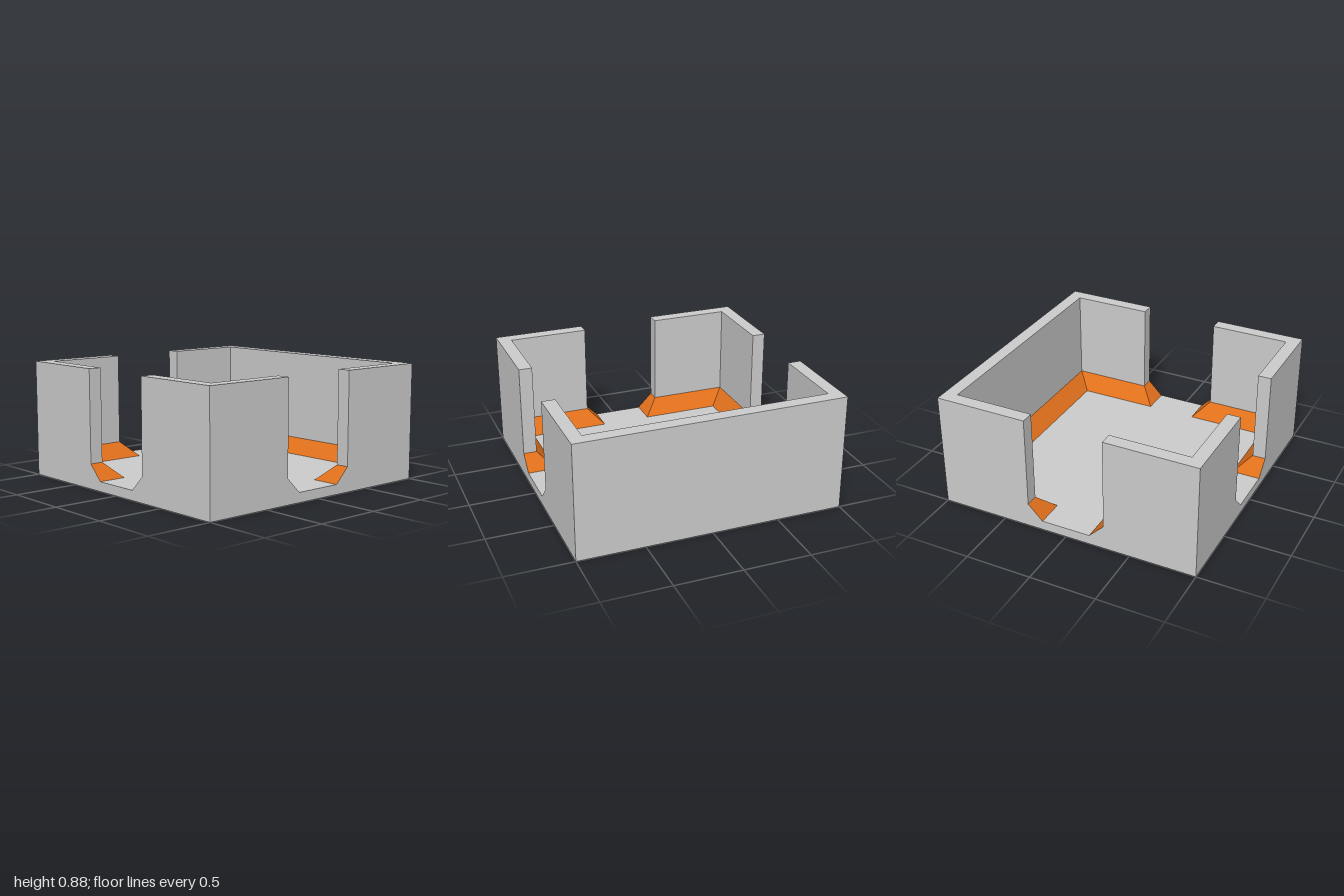
import * as THREE from 'three';

const FLOOR = 0.0725, TOP = 0.875, SKIRT = 0.1125; // floor level, wall top, skirting size
const grey = new THREE.MeshStandardMaterial({ color: 0xcccccc, flatShading: true });
const orange = new THREE.MeshStandardMaterial({ color: 0xe0701c, flatShading: true });

function add(group, name, geometry, material) {
  const mesh = new THREE.Mesh(geometry, material);
  mesh.name = name;
  group.add(mesh);
}

function triangles(points) {
  const g = new THREE.BufferGeometry();
  g.setAttribute('position', new THREE.Float32BufferAttribute(points.flat(), 3));
  g.computeVertexNormals();
  return g;
}

// Upright wall from a plan outline of [x, z] points
function wallGeometry(outline) {
  const shape = new THREE.Shape(outline.map(([x, z]) => new THREE.Vector2(x, -z)));
  const g = new THREE.ExtrudeGeometry(shape, { depth: TOP - FLOOR, bevelEnabled: false });
  return g.rotateX(-Math.PI / 2).translate(0, FLOOR, 0);
}

// Foot of the sloped skirting: the path moved sideways into the room
function offsetPath(path) {
  const normals = path.slice(1).map(([x, z], i) => {
    const dx = x - path[i][0], dz = z - path[i][1], l = Math.hypot(dx, dz);
    return [-dz / l, dx / l];
  });
  return path.map(([x, z], i) => {
    const a = normals[i - 1] ?? [0, 0], b = normals[i] ?? [0, 0];
    return [x + SKIRT * (a[0] + b[0]), z + SKIRT * (a[1] + b[1])];
  });
}

// One wall run: inner path (room on its right-hand side) plus outer corners
function wallSection(name, path, corners) {
  const group = new THREE.Group();
  group.name = name;
  add(group, 'wall', wallGeometry([...path, ...corners]), grey);

  const foot = offsetPath(path);
  const at = ([x, z], y) => [x, y, z];
  const top = path.map((p) => at(p, FLOOR + SKIRT));
  const base = path.map((p) => at(p, FLOOR));
  const toe = foot.map((p) => at(p, FLOOR));
  const slope = [];
  for (let i = 0; i < path.length - 1; i++) {
    slope.push(top[i], toe[i], toe[i + 1], top[i], toe[i + 1], top[i + 1]);
  }
  add(group, 'skirting', triangles(slope), orange);

  // Grey end faces flush with the outside of the walls
  const n = path.length - 1;
  add(group, 'skirtingEnds', triangles([top[0], base[0], toe[0], top[n], toe[n], base[n]]), grey);
  return group;
}

export function createModel() {
  const model = new THREE.Group();
  model.name = 'room';

  add(model, 'floor', new THREE.BoxGeometry(2, FLOOR, 2).translate(0, FLOOR / 2, 0), grey);

  // Two corner walls on the right, mirrored front to back
  const corner = [[-0.3, 1], [-0.3, 0.9], [-0.9, 0.9], [-0.9, 0.3], [-1, 0.3]];
  const mirrored = corner.map(([x, z]) => [x, -z]).reverse();
  model.add(wallSection('frontRightCorner', corner, [[-1, 1]]));
  model.add(wallSection('backRightCorner', mirrored, [[-1, -1]]));

  // Closed left side with returns to the front and back doorways
  const left = [[0.3, -1], [0.3, -0.9], [0.9, -0.9], [0.9, 0.9], [0.3, 0.9], [0.3, 1]];
  model.add(wallSection('leftSide', left, [[1, 1], [1, -1]]));

  return model;
}
